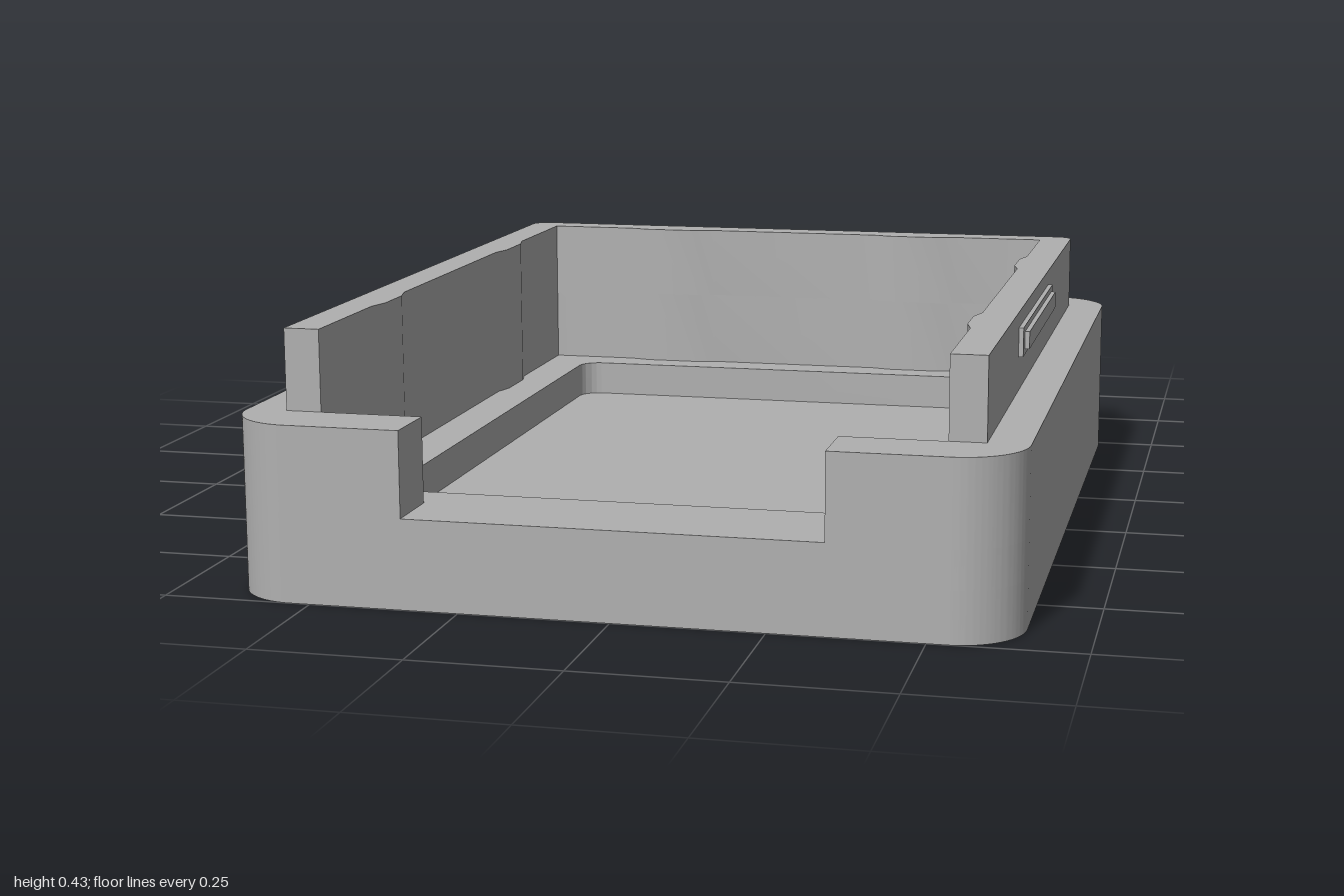
import * as THREE from 'three';
import { toCreasedNormals } from 'three/addons/utils/BufferGeometryUtils.js';

// Shapes are drawn in plan: shape x = x, shape y = -z, then extruded upwards.
const W = 0.643, FRONT = -1, BACK = 0.576, R = 0.11;
const NOTCH = 0.342, WALL_END = -0.89;
const SHELF = 0.15, DECK = 0.293, TOP = 0.43, POCKET = 0.085;

function slab(shape, y0, y1) {
  const g = new THREE.ExtrudeGeometry(shape, { depth: y1 - y0, bevelEnabled: false, curveSegments: 24 });
  g.rotateX(-Math.PI / 2).translate(0, y0, 0);
  return toCreasedNormals(g, 0.5);
}

// Outer plan of the tray with the keyring lug at the back, from front right to front left
function traceOutline(s) {
  s.moveTo(NOTCH, FRONT);
  s.lineTo(W - R, FRONT);
  s.absarc(W - R, FRONT + R, R, -Math.PI / 2, 0);
  s.lineTo(W, BACK - R);
  s.absarc(W - R, BACK - R, R, 0, Math.PI / 2);
  s.lineTo(0.36, BACK);
  s.lineTo(0.303, 0.615);
  s.lineTo(0.303, 0.697);
  s.absarc(0, 0.697, 0.303, 0, Math.PI);
  s.lineTo(-0.303, 0.615);
  s.lineTo(-0.36, BACK);
  s.lineTo(-W + R, BACK);
  s.absarc(-W + R, BACK - R, R, Math.PI / 2, Math.PI);
  s.lineTo(-W, FRONT + R);
  s.absarc(-W + R, FRONT + R, R, Math.PI, Math.PI * 1.5);
  s.lineTo(-NOTCH, FRONT);
  const hole = new THREE.Path();
  hole.absarc(0, 0.77, 0.131, 0, Math.PI * 2, true);
  s.holes.push(hole);
}

// Inner cavity edge, with small gripping ribs, from front left to front right
function traceCavity(s) {
  const x = 0.515, back = 0.445, d = 0.01;
  const side = [[x, WALL_END], [x, -0.65], [x - d, -0.61], [x - d, -0.53], [x, -0.49],
    [x, 0.03], [x - d, 0.07], [x - d, 0.16], [x, 0.2], [x, back]];
  const ribs = [[0.35, back], [0.31, back - d], [0.21, back - d], [0.17, back]];
  for (const [px, py] of side) s.lineTo(-px, py);
  for (const [px, py] of ribs) s.lineTo(-px, py);
  for (const [px, py] of ribs.reverse()) s.lineTo(px, py);
  for (const [px, py] of side.reverse()) s.lineTo(px, py);
}

function roundedHole(x, y0, y1, r) {
  const p = new THREE.Path();
  p.moveTo(x - r, y0);
  p.absarc(x - r, y0 + r, r, -Math.PI / 2, 0);
  p.absarc(x - r, y1 - r, r, 0, Math.PI / 2);
  p.absarc(-x + r, y1 - r, r, Math.PI / 2, Math.PI);
  p.absarc(-x + r, y0 + r, r, Math.PI, Math.PI * 1.5);
  p.closePath();
  return p;
}

export function createModel() {
  const group = new THREE.Group();
  const grey = new THREE.MeshStandardMaterial({ color: 0xb0b0b0 });
  grey.name = 'grey plastic';
  const add = (name, geometry) => {
    const m = new THREE.Mesh(geometry, grey);
    m.name = name;
    group.add(m);
    return m;
  };

  // Solid bottom
  const bottom = new THREE.Shape();
  traceOutline(bottom);
  add('bottomPlate', slab(bottom, 0, POCKET));

  // Shelf around the sunken pocket
  const shelf = new THREE.Shape();
  traceOutline(shelf);
  shelf.holes.push(roundedHole(0.437, -0.815, 0.377, 0.04));
  add('pocketShelf', slab(shelf, POCKET, SHELF));

  // Tray sides, open at the front notch
  const sides = new THREE.Shape();
  traceOutline(sides);
  sides.lineTo(-NOTCH, WALL_END);
  traceCavity(sides);
  sides.lineTo(NOTCH, WALL_END);
  sides.closePath();
  add('traySides', slab(sides, SHELF, DECK));

  // Thin raised rim on three sides
  const rim = new THREE.Shape();
  const rx = 0.575, rz = 0.5, rr = 0.03;
  rim.moveTo(rx, WALL_END);
  rim.lineTo(rx, rz - rr);
  rim.absarc(rx - rr, rz - rr, rr, 0, Math.PI / 2);
  rim.lineTo(-rx + rr, rz);
  rim.absarc(-rx + rr, rz - rr, rr, Math.PI / 2, Math.PI);
  rim.lineTo(-rx, WALL_END);
  traceCavity(rim);
  rim.closePath();
  add('raisedRim', slab(rim, DECK, TOP));

  // Stepped snap ridges on both sides of the rim
  for (const s of [-1, 1]) {
    const name = s > 0 ? 'left' : 'right';
    add(name + 'SnapRidgeBase', new THREE.BoxGeometry(0.02, 0.05, 0.495)).position.set(s * 0.573, 0.378, 0.225);
    add(name + 'SnapRidgeTip', new THREE.BoxGeometry(0.02, 0.03, 0.45)).position.set(s * 0.581, 0.378, 0.225);
  }
  return group;
}
